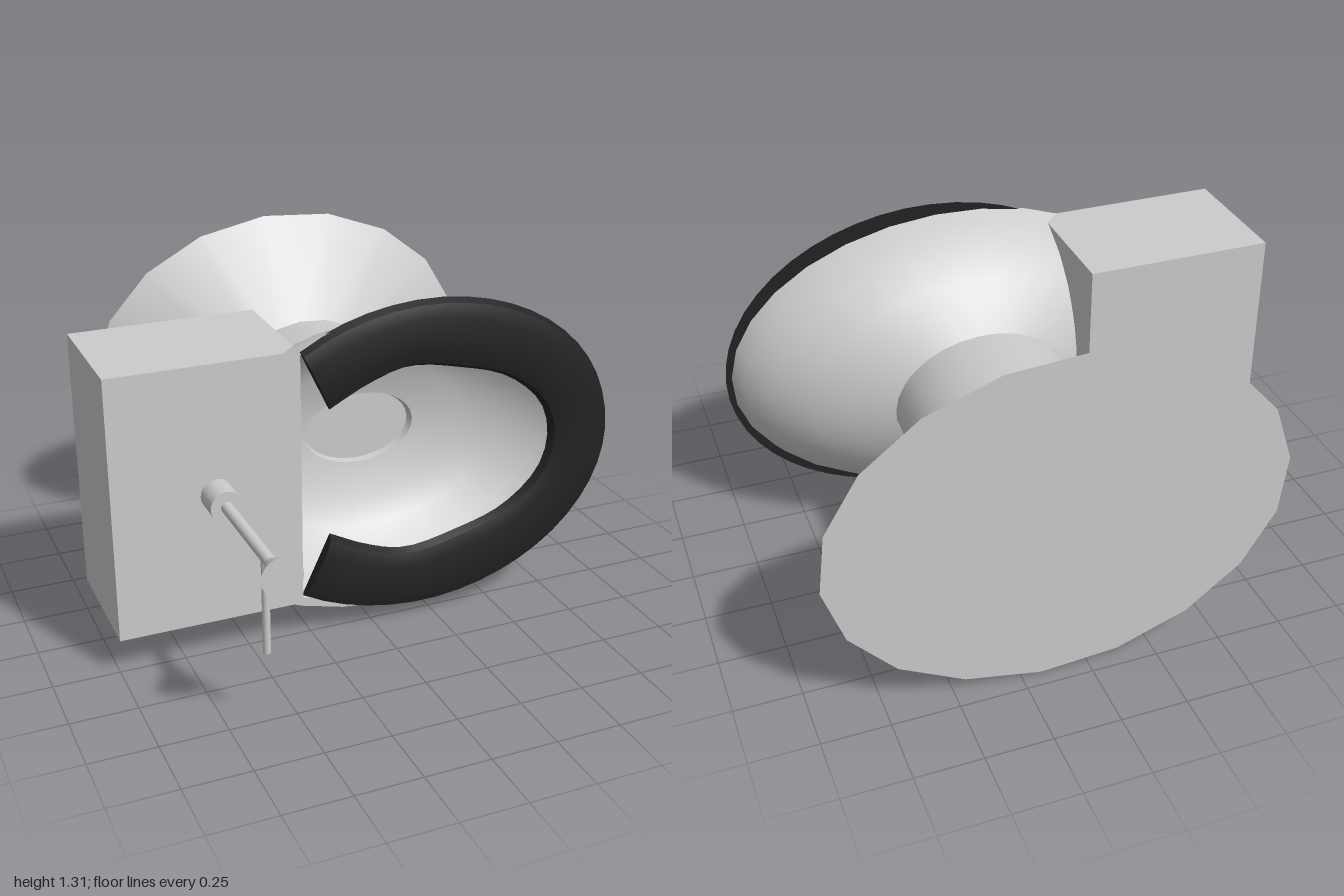
import * as THREE from 'three';
import { toCreasedNormals } from 'three/addons/utils/BufferGeometryUtils.js';

const CX = 0.1, CY = 0.66; // axis shared by bowl, neck and base

const grey = new THREE.MeshStandardMaterial({ color: 0xcccccc, side: THREE.DoubleSide });
const black = new THREE.MeshStandardMaterial({ color: 0x222222, side: THREE.DoubleSide });

// Joins closed rings of points into a skin; capped ends close on the ring centre.
function loft(rings, capStart, capEnd) {
  const centreRing = (ring) => {
    const c = ring.reduce((s, p) => s.add(p), new THREE.Vector3()).divideScalar(ring.length);
    return ring.map(() => c);
  };
  const all = [...rings];
  if (capStart) all.unshift(centreRing(rings[0]));
  if (capEnd) all.push(centreRing(rings[rings.length - 1]));
  const pos = [];
  const tri = (...ps) => {
    if (ps[0].equals(ps[1]) || ps[1].equals(ps[2]) || ps[2].equals(ps[0])) return;
    ps.forEach((p) => pos.push(p.x, p.y, p.z));
  };
  for (let i = 0; i < all.length - 1; i++) {
    const n = all[i].length;
    for (let j = 0; j < n; j++) {
      const k = (j + 1) % n;
      const a = all[i][j], b = all[i][k], c = all[i + 1][k], d = all[i + 1][j];
      tri(a, b, c);
      tri(a, c, d);
    }
  }
  const geo = new THREE.BufferGeometry();
  geo.setAttribute('position', new THREE.Float32BufferAttribute(pos, 3));
  return toCreasedNormals(geo, 0.62);
}

// Oval ring from [z, half width, half height]
function oval([z, rx, ry], sides) {
  return Array.from({ length: sides }, (_, i) => {
    const t = (i / sides) * Math.PI * 2 + THREE.MathUtils.degToRad(15);
    return new THREE.Vector3(CX + rx * Math.cos(t), CY + ry * Math.sin(t), z);
  });
}

function ovalLoft(sections, sides, capStart, capEnd) {
  return loft(sections.map((s) => oval(s, sides)), capStart, capEnd);
}

// Flat horseshoe seat: a low rounded section swept from the upper end to the lower
function seatGeometry() {
  const section = [[0, 0.275], [0.06, 0.305], [0.25, 0.32], [0.75, 0.32], [0.94, 0.305], [1, 0.275]];
  const half = [[0.74, 0], [0.7, 0.14], [0.55, 0.27], [0.35, 0.335], [0.13, 0.37], [-0.03, 0.325], [-0.18, 0.25]];
  const lower = half.slice(1).reverse().map(([x, y]) => [x, -y]);
  const inner = new THREE.CatmullRomCurve3(
    [...lower, ...half].map(([x, y]) => new THREE.Vector3(x, CY + 0.01 + y, 0)));
  const steps = 36, end = THREE.MathUtils.degToRad(128);
  const rings = [];
  for (let i = 0; i <= steps; i++) {
    const u = i / steps, t = (u * 2 - 1) * end;
    const a = inner.getPointAt(u);
    const b = new THREE.Vector3(0.2 + 0.8 * Math.cos(t), CY + 0.01 + 0.62 * Math.sin(t), 0);
    rings.push(section.map(([f, z]) => a.clone().lerp(b, f).setZ(z)));
  }
  return loft(rings, true, true);
}

export function createModel() {
  const model = new THREE.Group();
  const add = (name, geo, material = grey, parent = model) => {
    const mesh = new THREE.Mesh(geo, material);
    mesh.name = name;
    parent.add(mesh);
    return mesh;
  };

  // Cistern
  add('tank', new THREE.BoxGeometry(0.71, 1.01, 0.5)).position.set(-0.645, 0.655, 0.03);

  // Flared foot and the neck that carries the bowl
  add('base', ovalLoft([[-0.94, 0.85, 0.66], [-0.65, 0.345, 0.27]], 18, true, false));
  add('neck', ovalLoft([[-0.65, 0.345, 0.27], [-0.12, 0.345, 0.27]], 18, false, false));

  // Bowl: outer shell, rim, basin and drain recess in one skin
  add('bowl', ovalLoft([
    [-0.13, 0.345, 0.27], [-0.07, 0.49, 0.355], [0, 0.63, 0.435], [0.1, 0.76, 0.51], [0.2, 0.845, 0.56], [0.28, 0.88, 0.585],
    [0.28, 0.84, 0.55], [0.2, 0.8, 0.525], [0.1, 0.71, 0.465], [0, 0.57, 0.38], [-0.06, 0.42, 0.285], [-0.09, 0.23, 0.145],
    [-0.12, 0.22, 0.14],
  ], 30, false, true));

  add('seat', seatGeometry(), black);

  // Flush handle, pointing out of the tank front
  const handle = new THREE.Group();
  handle.name = 'flushHandle';
  handle.position.set(-0.615, 0.665, 0);
  model.add(handle);
  const rod = (name, rBack, rFront, z0, z1) => {
    const geo = new THREE.CylinderGeometry(rFront, rBack, z1 - z0, 20).rotateX(Math.PI / 2);
    add(name, geo, grey, handle).position.z = (z0 + z1) / 2;
  };
  rod('handleCollar', 0.06, 0.06, 0.27, 0.395);
  rod('handleRod', 0.022, 0.022, 0.39, 0.85);
  rod('handleKnob', 0.022, 0.074, 0.84, 0.94);
  add('handleLever', new THREE.CylinderGeometry(0.014, 0.014, 0.37, 12), grey, handle).position.set(0, -0.185, 0.775);

  return model;
}
